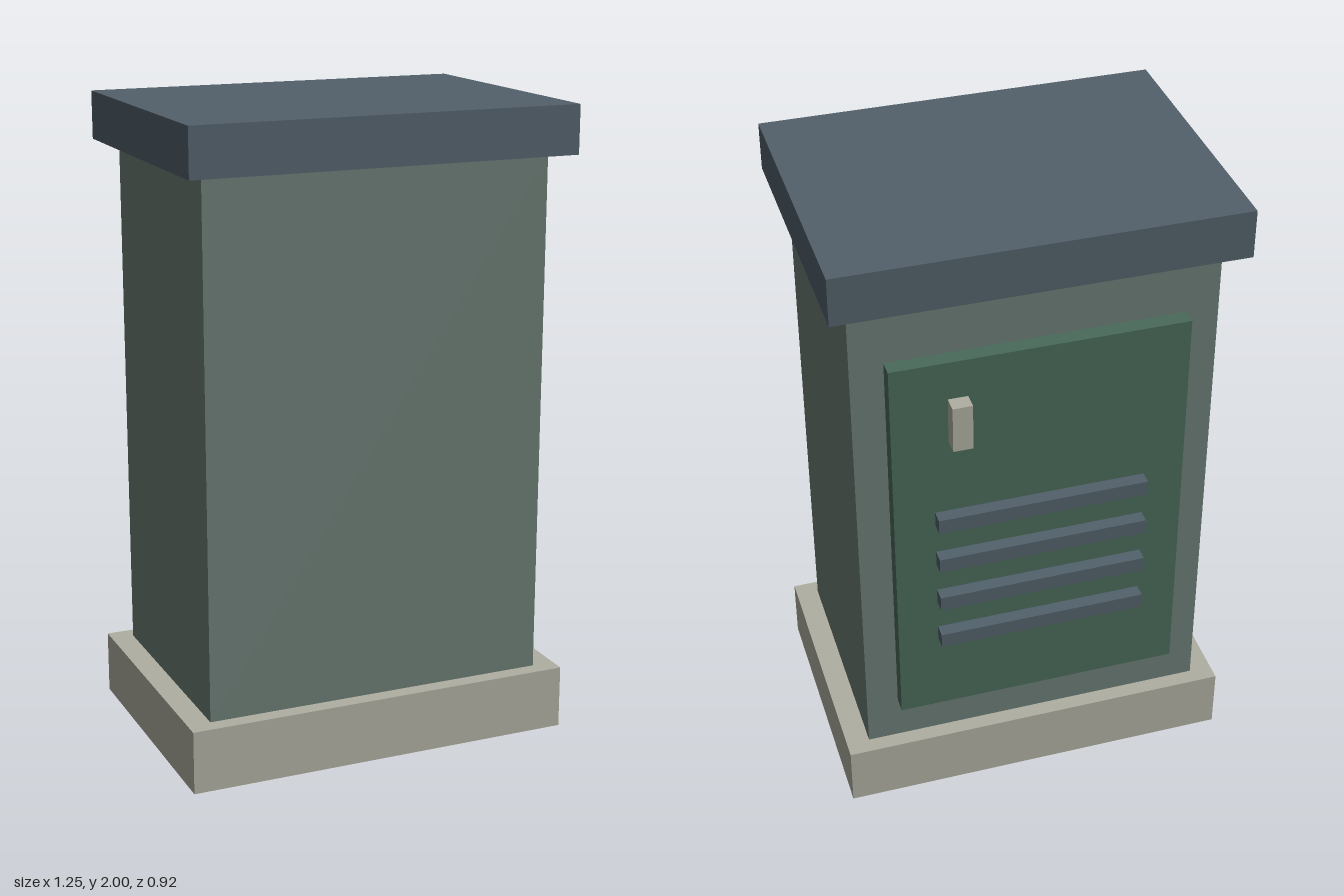
import * as THREE from 'three';

const material = (name, color) => {
  const m = new THREE.MeshStandardMaterial({ color });
  m.name = name;
  return m;
};

export function createModel() {
  const group = new THREE.Group();
  group.name = 'utilityCabinet';

  const concrete = material('concrete', 0xb0afa2);
  const bodyGreen = material('greyGreen', 0x6c7c75);
  const doorGreen = material('darkGreen', 0x4a6a5a);
  const slate = material('slate', 0x52616b);

  // Box from its size and centre
  const box = (name, mat, [w, h, d], [x, y, z]) => {
    const mesh = new THREE.Mesh(new THREE.BoxGeometry(w, h, d), mat);
    mesh.name = name;
    mesh.position.set(x, y, z);
    group.add(mesh);
  };

  // Plinth, cabinet and overhanging roof share one centre line
  const zMid = 0.0125;
  box('plinth', concrete, [1.245, 0.2, 0.85], [0, 0.1, zMid]);
  box('cabinetBody', bodyGreen, [1.1, 1.65, 0.75], [0, 1.025, zMid]);
  box('roof', slate, [1.224, 0.15, 0.9], [0, 1.925, zMid]);

  // Door on the back, with its handle
  box('door', doorGreen, [0.9, 1.3, 0.05], [0, 1, -0.3875]);
  box('doorHandle', concrete, [0.06, 0.15, 0.05], [0.25, 1.45, -0.4375]);

  // Ventilation slats across the door
  for (let i = 0; i < 4; i++) {
    box(`ventSlat${i + 1}`, slate, [0.65, 0.048, 0.042], [0, 0.65 + i * 0.15, -0.4335]);
  }

  return group;
}
